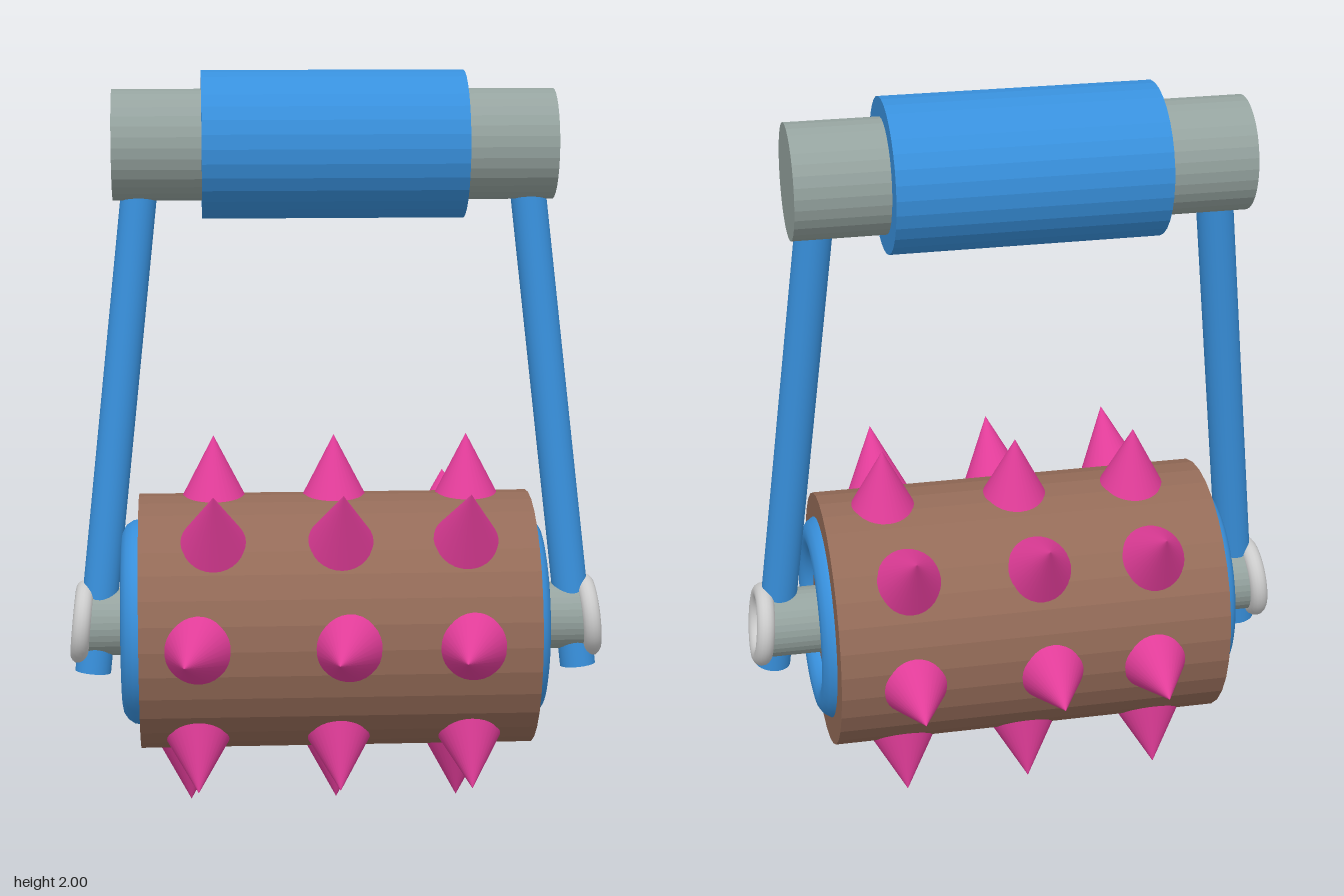
import * as THREE from 'three';

const mat = (color, flatShading = false) => new THREE.MeshStandardMaterial({ color, flatShading });
const UP = new THREE.Vector3(0, 1, 0);
const V = (x, y, z) => new THREE.Vector3(x, y, z);

export function createModel() {
  const model = new THREE.Group();
  const blue = mat(0x3890dc), blueFlat = mat(0x3890dc, true);
  const brown = mat(0x946b58, true), pink = mat(0xe03c98);
  const grey = mat(0x95a39f, true), pale = mat(0xc4c0c0);

  const add = (name, geometry, material, parent = model) => {
    const mesh = new THREE.Mesh(geometry, material);
    mesh.name = name;
    parent.add(mesh);
    return mesh;
  };

  // Cylinder lying along x between two x positions
  const bar = (name, x0, x1, r, y, z, material) => {
    const g = new THREE.CylinderGeometry(r, r, x1 - x0, 32).rotateZ(Math.PI / 2);
    const mesh = add(name, g, material);
    mesh.position.set((x0 + x1) / 2, y, z);
    return mesh;
  };

  // Cylinder or cone geometry aimed from one point to another
  const aim = (mesh, from, to) => {
    mesh.position.copy(from).lerp(to, 0.5);
    mesh.quaternion.setFromUnitVectors(UP, to.clone().sub(from).normalize());
  };

  // Handle with its wider grip, slightly oval in depth
  bar('handle', -0.6, 0.595, 0.15, 1.8, -0.1, grey);
  bar('grip', -0.36, 0.35, 0.2, 1.8, -0.1, blueFlat).scale.z = 1.065;

  // Roller drum and axle
  const drumZ = -0.012;
  bar('drum', -0.54, 0.53, 0.35, 0.5, drumZ, brown);
  bar('axle', -0.7, 0.7, 0.093, 0.5, -0.01, grey);

  // Arms, axle rings and drum end rings on both sides
  for (const s of [-1, 1]) {
    const side = s > 0 ? 'left' : 'right';
    const top = V(s * 0.52, 1.76, -0.105), bottom = V(s * 0.672, 0.365, 0.015);
    aim(add(side + 'Arm', new THREE.CylinderGeometry(0.049, 0.049, top.distanceTo(bottom), 24), blue), bottom, top);

    const ring = add(side + 'AxleRing', new THREE.TorusGeometry(0.09, 0.025, 16, 40).rotateY(Math.PI / 2), pale);
    ring.position.set(s * 0.7, 0.5, -0.01);
    ring.rotation.z = s * 0.1;

    const endRing = add(side + 'DrumRing', new THREE.TorusGeometry(0.23, 0.053, 16, 48).rotateY(Math.PI / 2), blue);
    endRing.position.set(s > 0 ? 0.512 : -0.537, 0.5, -0.003);
  }

  // Spike rows: tip z, tip y, tip x of three spikes, sideways offset of the base
  const rows = [
    [-0.05, 1.01, [-0.335, -0.005, 0.36], 0],
    [0.33, 0.915, [-0.34, 0, 0.335], 0],
    [0.508, 0.505, [-0.42, -0.02, 0.31], 0.033],
    [0.29, 0.1, [-0.385, -0.005, 0.35], 0],
    [0.035, 0, [-0.405, -0.003, 0.332], 0],
    [-0.25, 0.07, [-0.36, 0, 0.34], 0],
    [-0.51, 0.42, [-0.33, -0.045, 0.33], 0],
    [-0.402, 0.84, [-0.34, -0.025, 0.33], 0],
  ];
  const spikes = new THREE.Group();
  spikes.name = 'spikes';
  model.add(spikes);
  for (const [z, y, xs, lean] of rows) {
    const out = V(0, y - 0.5, z - drumZ).normalize();
    for (const x of xs) {
      const base = V(x + lean, 0.5, drumZ).addScaledVector(out, 0.32);
      const tip = V(x, y, z);
      aim(add('spike', new THREE.ConeGeometry(0.1, base.distanceTo(tip), 32), pink, spikes), base, tip);
    }
  }
  return model;
}
